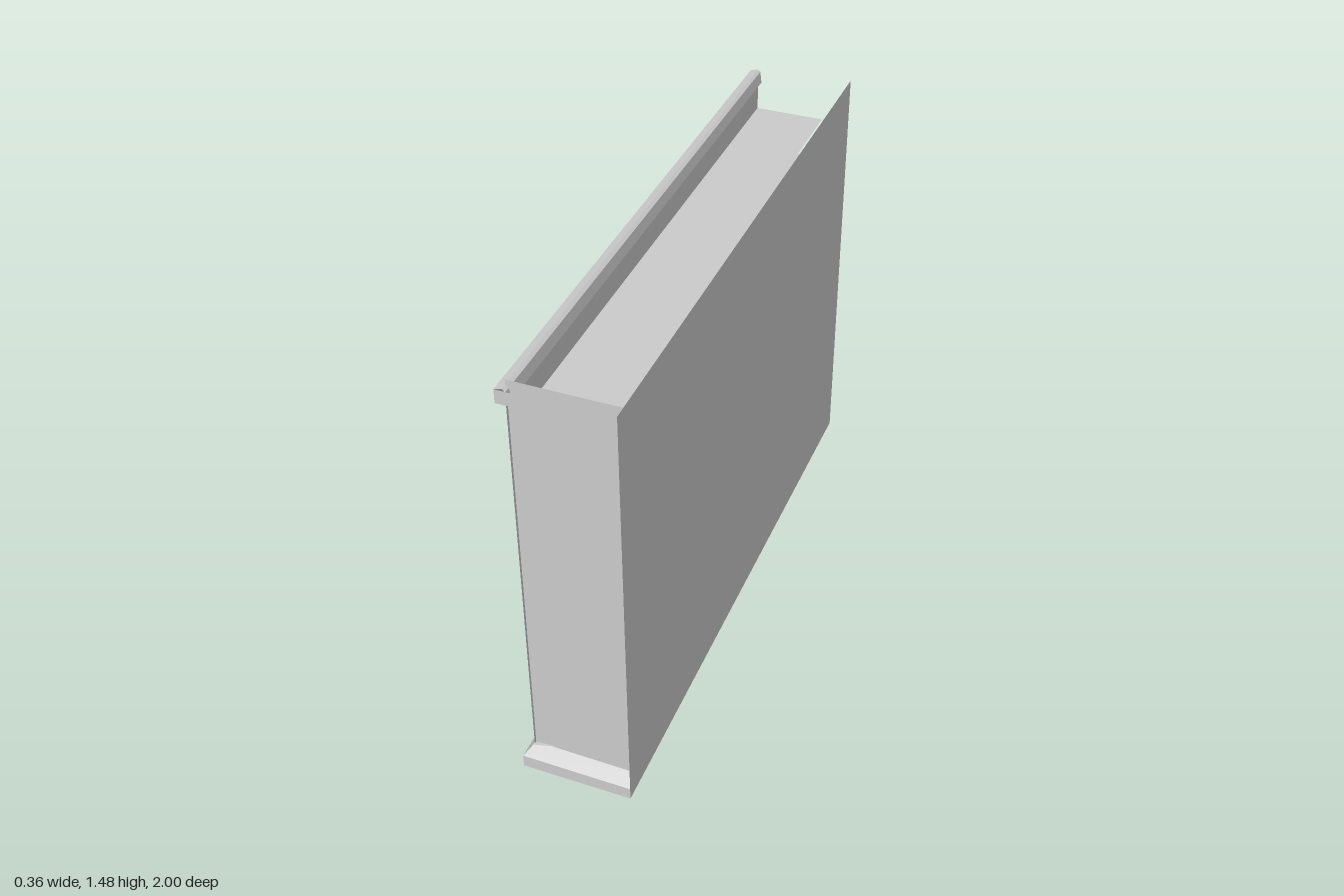
import * as THREE from 'three';

const material = new THREE.MeshStandardMaterial({ color: 0xcccccc, side: THREE.DoubleSide, flatShading: true });

// Open sheet between two matching rows of points
function sheet(name, rowA, rowB) {
  const pos = [];
  for (let i = 0; i < rowA.length - 1; i++) {
    const [a, b, c, d] = [rowA[i], rowA[i + 1], rowB[i + 1], rowB[i]];
    pos.push(...a, ...b, ...c, ...a, ...c, ...d);
  }
  const g = new THREE.BufferGeometry();
  g.setAttribute('position', new THREE.Float32BufferAttribute(pos, 3));
  g.computeVertexNormals();
  const m = new THREE.Mesh(g, material);
  m.name = name;
  return m;
}

// Sheet from an [x, y] profile swept along z
const alongZ = (name, profile, z0, z1) =>
  sheet(name, profile.map(([x, y]) => [x, y, z0]), profile.map(([x, y]) => [x, y, z1]));

export function createModel() {
  const group = new THREE.Group();

  // Tall plain side and the front panel that joins it
  group.add(alongZ('sidePanel', [[0.18, 0], [0.18, 1.475]], -1, 1));
  group.add(sheet('frontPanel',
    [[0.18, 0.07, 0.96], [-0.155, 0.07, 0.96]],
    [[0.18, 1.475, 0.96], [-0.155, 1.475, 0.96]]));

  // Stepped wall: nested recesses, each open to the back
  const levels = [
    { x: -0.08, top: 1.16, front: 0.62 },
    { x: -0.115, top: 1.31, front: 0.87 },
    { x: -0.152, top: 1.42, front: 0.97 },
  ];
  const base = 0.08;
  levels.forEach((l, i) => {
    const inner = levels[i - 1];
    if (!inner) {
      group.add(alongZ('recessWall', [[l.x, base], [l.x, l.top]], -1, l.front));
    } else {
      // L-shaped border around the inner recess
      group.add(alongZ('upperBorder', [[l.x, inner.top], [l.x, l.top]], -1, l.front));
      group.add(alongZ('frontBorder', [[l.x, base], [l.x, inner.top]], inner.front, l.front));
      // Upright return and horizontal shelf
      group.add(sheet('uprightReturn',
        [[inner.x, base, inner.front], [l.x, base, inner.front]],
        [[inner.x, inner.top, inner.front], [l.x, inner.top, inner.front]]));
      group.add(alongZ('shelf', [[l.x, inner.top], [i === 1 ? 0.095 : 0.085, inner.top]], -1, inner.front));
    }
  });

  // Hooked top rail
  const rail = [[-0.152, 1.405], [-0.18, 1.405], [-0.18, 1.45], [-0.155, 1.457],
    [-0.145, 1.45], [-0.14, 1.41], [-0.152, 1.405]];
  group.add(alongZ('topRail', rail, -1, 0.98));
  group.add(sheet('railEnd',
    [[-0.18, 1.405, 0.98], [-0.105, 1.405, 0.98]],
    [[-0.18, 1.45, 0.98], [-0.105, 1.45, 0.98]]));

  // Sloped skirting, mitred around the front corner
  const skirt = [[0.03, 0], [0, 0], [0, 0.045], [0.025, 0.08], [0.1, 0.085]];
  group.add(sheet('sideSkirting',
    skirt.map(([d, y]) => [-0.18 + d, y, -1]),
    skirt.map(([d, y]) => [-0.18 + d, y, 1 - Math.min(d, 0.04)])));
  const front = [[0.08, 0], [0, 0], [0, 0.045], [0.04, 0.08]];
  group.add(sheet('frontSkirting',
    front.map(([d, y]) => [-0.18 + Math.min(d, 0.025), y, 1 - d]),
    front.map(([d, y]) => [0.18, y * 0.95, 1 - d])));

  // Small bracket inside the front corner
  const bracket = new THREE.Mesh(new THREE.BoxGeometry(0.07, 0.06, 0.07), material);
  bracket.name = 'cornerBracket';
  bracket.position.set(-0.085, 0.05, 0.905);
  group.add(bracket);

  return group;
}
